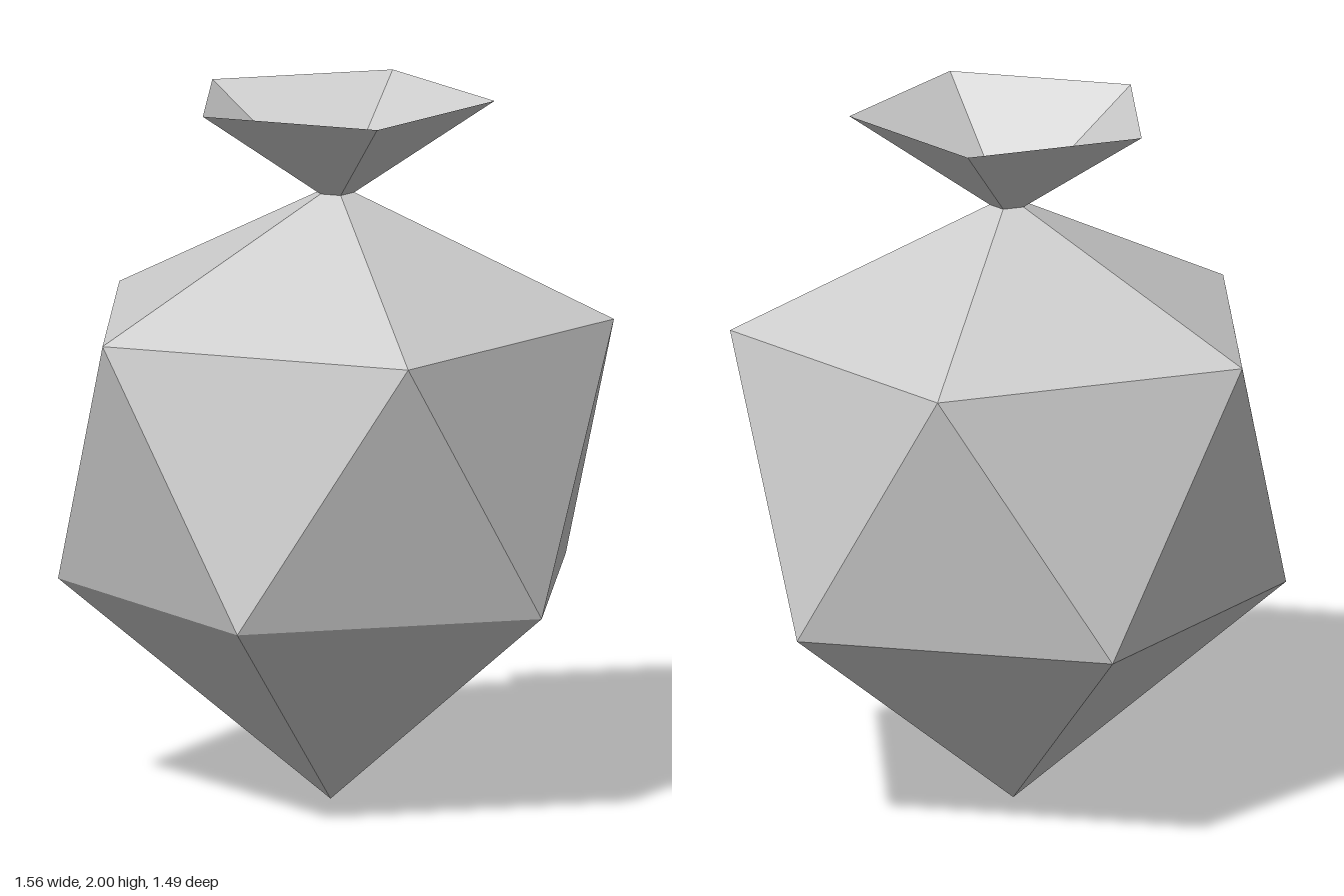
import * as THREE from 'three';

const SIDES = 5;

// Five-sided ring of points, with one corner on +x
function ring(radius, y) {
  return Array.from({ length: SIDES }, (_, i) => {
    const a = (i / SIDES) * Math.PI * 2;
    return [radius * Math.cos(a), y, radius * Math.sin(a)];
  });
}

// Faceted body: a crown fan, a zigzag belt and a pointed base fan
function bodyGeometry() {
  const top = [0, 1.76, 0];
  const bottom = [-0.015, 0, 0];
  const upper = ring(0.78, 1.38);
  const lower = [
    [0.6, 0.61, 0.44],
    [-0.24, 0.61, 0.71],
    [-0.78, 0.62, -0.01],
    [-0.25, 0.61, -0.75],
    [0.62, 0.61, -0.48],
  ];
  const points = [];
  for (let i = 0; i < SIDES; i++) {
    const n = (i + 1) % SIDES;
    points.push(
      top, upper[n], upper[i],
      upper[n], lower[i], upper[i],
      lower[n], lower[i], upper[n],
      lower[n], bottom, lower[i],
    );
  }
  const geometry = new THREE.BufferGeometry();
  geometry.setAttribute('position', new THREE.Float32BufferAttribute(points.flat(), 3));
  geometry.computeVertexNormals();
  return geometry;
}

export function createModel() {
  const group = new THREE.Group();
  group.name = 'tiedPouch';

  const lightGrey = new THREE.MeshStandardMaterial({
    name: 'lightGrey', color: 0xcccccc, flatShading: true, side: THREE.DoubleSide,
  });

  const body = new THREE.Mesh(bodyGeometry(), lightGrey);
  body.name = 'pouchBody';
  group.add(body);

  // Open flared mouth whose point sinks into the top of the body
  const low = 1.7, high = 2;
  const mouthGeometry = new THREE.CylinderGeometry(0.445, 0, high - low, SIDES, 1, true, Math.PI / 2);
  const mouth = new THREE.Mesh(mouthGeometry, lightGrey);
  mouth.name = 'flaredMouth';
  mouth.position.y = (low + high) / 2;
  group.add(mouth);

  return group;
}
